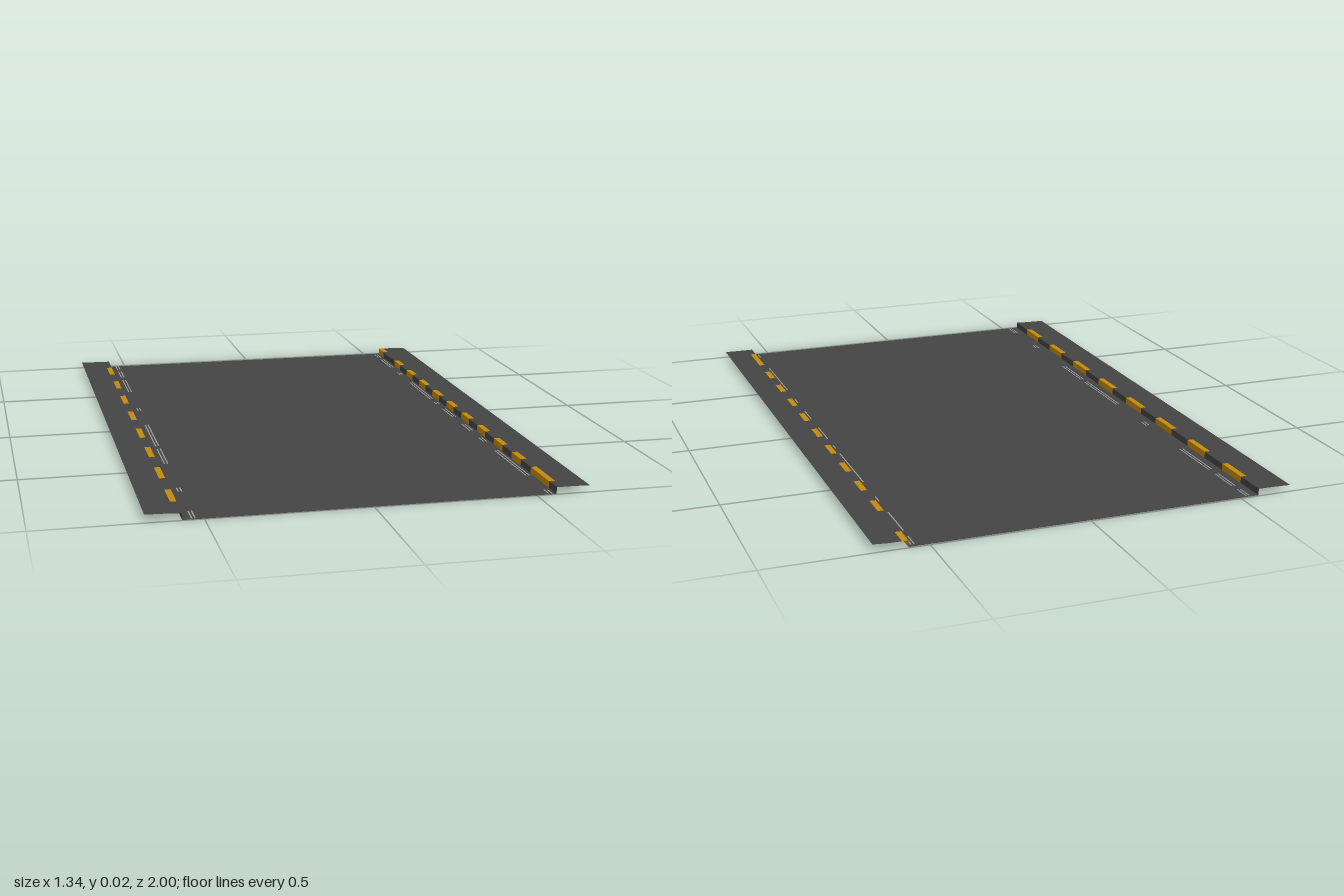
import * as THREE from 'three';

const asphalt = new THREE.MeshStandardMaterial({ name: 'asphaltGrey', color: 0x444444, side: THREE.DoubleSide });
const yellow = new THREE.MeshStandardMaterial({ name: 'kerbYellow', color: 0xc48a0a, side: THREE.DoubleSide });
const paint = new THREE.MeshStandardMaterial({ name: 'wornLineGrey', color: 0xa0a0a0, side: THREE.DoubleSide });

// Open sheet swept along z; each profile point is [x, y, zBack, zFront]
function sheet(name, material, profile) {
  const pos = [];
  for (let i = 0; i + 1 < profile.length; i++) {
    let [a, b] = [profile[i], profile[i + 1]];
    // order the strip so horizontal parts face up
    if (a[0] > b[0]) [a, b] = [b, a];
    const [ab, af] = [[a[0], a[1], a[2]], [a[0], a[1], a[3]]];
    const [bb, bf] = [[b[0], b[1], b[2]], [b[0], b[1], b[3]]];
    pos.push(...ab, ...af, ...bf, ...ab, ...bf, ...bb);
  }
  const geometry = new THREE.BufferGeometry();
  geometry.setAttribute('position', new THREE.Float32BufferAttribute(pos, 3));
  geometry.computeVertexNormals();
  const mesh = new THREE.Mesh(geometry, material);
  mesh.name = name;
  return mesh;
}

const KERB = 0.563, LIP = 0.582, HEIGHT = 0.021, BACK = -0.995, FRONT = 0.997;

// Kerb face and top lip, alternating plain and yellow lengths
function kerb(name, side, stripes) {
  const group = new THREE.Group();
  group.name = name;
  const piece = (label, material, z0, z1) => {
    if (z1 - z0 < 0.001) return;
    group.add(sheet(label, material, [
      [side * KERB, 0, z0, z1], [side * KERB, HEIGHT, z0, z1], [side * LIP, HEIGHT, z0, z1],
    ]));
  };
  let z = BACK;
  for (const [z0, z1] of stripes) {
    piece('plainKerb', asphalt, z, z0);
    piece('yellowKerb', yellow, z0, z1);
    z = z1;
  }
  piece('plainKerb', asphalt, z, FRONT);
  return group;
}

// Pair of thin worn paint lines beside the kerb
function wornLine(name, x, lengths) {
  const group = new THREE.Group();
  group.name = name;
  for (const [z0, z1] of lengths) {
    for (const dx of [-0.005, 0.005]) {
      group.add(sheet('wornPaint', paint, [
        [x + dx - 0.002, 0.0006, z0, z1], [x + dx + 0.002, 0.0006, z0, z1],
      ]));
    }
  }
  return group;
}

export function createModel() {
  const model = new THREE.Group();
  model.name = 'roadSection';

  // Road surface
  model.add(sheet('road', asphalt, [[-KERB, 0, BACK, FRONT], [KERB, 0, BACK, FRONT]]));

  // Pavements, with slightly skewed ends
  model.add(sheet('rightPavement', asphalt, [
    [-0.67, HEIGHT, -1, 0.988], [-0.59, HEIGHT, BACK, 0.993], [-LIP, HEIGHT, BACK, FRONT],
  ]));
  model.add(sheet('leftPavement', asphalt, [
    [LIP, HEIGHT, BACK, FRONT], [0.62, HEIGHT, BACK, FRONT], [0.667, HEIGHT, -0.988, 1],
  ]));

  // Kerbs: long stripes on one side, shorter ones on the other
  const longStripes = [], shortStripes = [[BACK, -0.925]];
  for (let i = 0; i < 8; i++) {
    const z = -0.825 + i * 0.2357;
    longStripes.push([z - 0.06, z + 0.06]);
  }
  for (let i = 0; i < 9; i++) {
    const z = -0.718 + i * 0.171;
    shortStripes.push([z - 0.042, z + 0.042]);
  }
  shortStripes.push([0.78, 0.935]);
  model.add(kerb('rightKerb', -1, longStripes));
  model.add(kerb('leftKerb', 1, shortStripes));

  // Worn edge lines on the road
  model.add(wornLine('rightEdgeLine', -0.53, [
    [-0.99, -0.93], [-0.9, -0.79], [-0.75, -0.55], [-0.3, -0.26],
    [-0.06, 0.22], [0.25, 0.43], [0.69, 0.73], [0.92, 0.99],
  ]));
  model.add(wornLine('leftEdgeLine', 0.546, [
    [-0.98, -0.92], [-0.88, -0.73], [-0.64, -0.6], [-0.47, -0.2], [-0.15, -0.12],
    [-0.05, 0.07], [0.17, 0.26], [0.35, 0.4], [0.51, 0.8], [0.95, 0.99],
  ]));

  return model;
}
